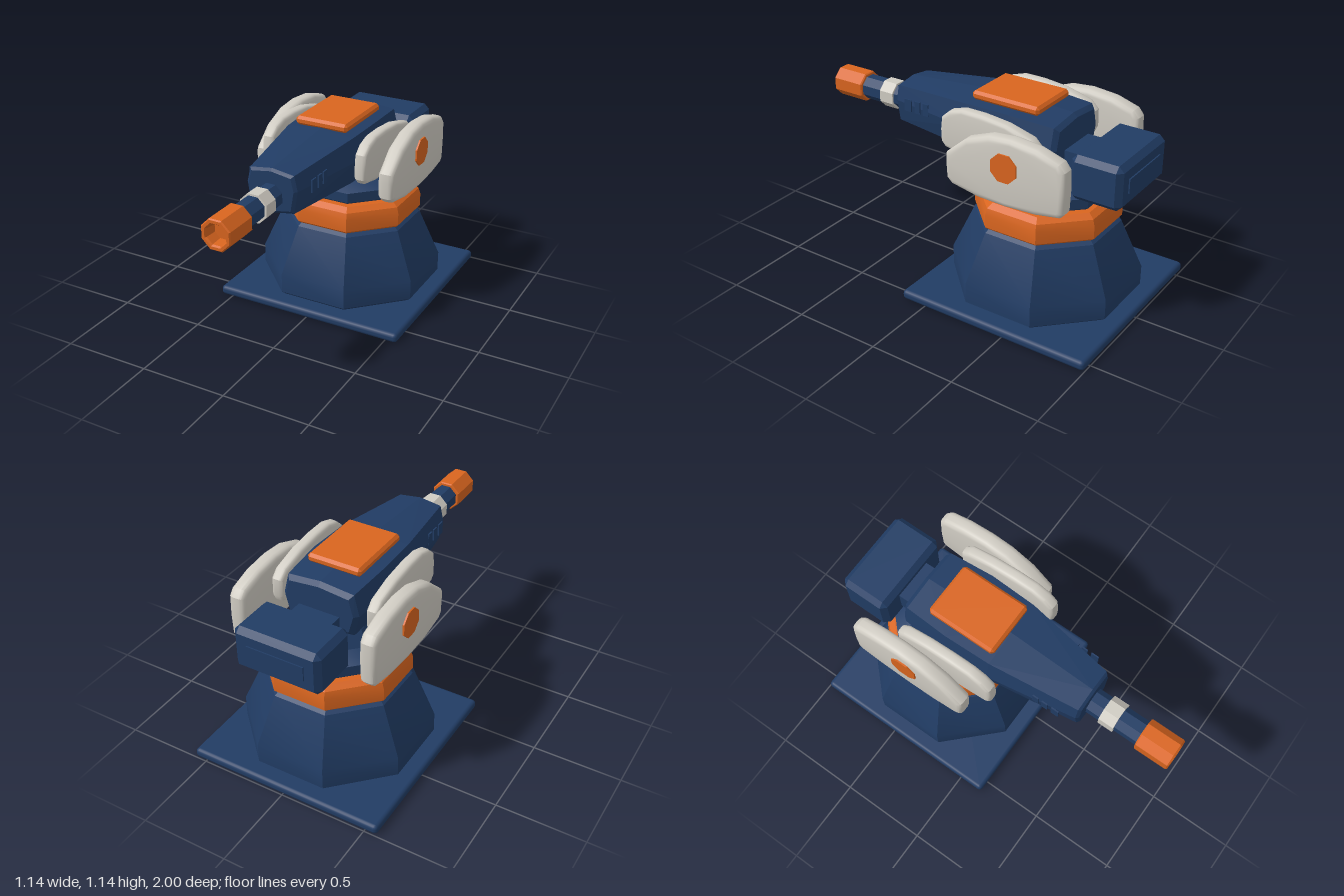
import * as THREE from 'three';
import { toCreasedNormals } from 'three/addons/utils/BufferGeometryUtils.js';
import { ConvexGeometry } from 'three/addons/geometries/ConvexGeometry.js';
import { RoundedBoxGeometry } from 'three/addons/geometries/RoundedBoxGeometry.js';

const material = (name, color) => {
  const m = new THREE.MeshStandardMaterial({ color });
  m.name = name;
  return m;
};

// Eight-sided turned part, flats facing the axes; profile is [apothem, height]
function octagon(profile) {
  const k = 1 / Math.cos(Math.PI / 8);
  const points = profile.map(([r, y]) => new THREE.Vector2(r * k, y));
  return toCreasedNormals(new THREE.LatheGeometry(points, 8, Math.PI / 8), 0.4);
}

// Box with every edge and corner cut, given by half sizes
function chamferBox(w, h, d, c) {
  const points = [];
  for (const x of [-1, 1]) for (const y of [-1, 1]) for (const z of [-1, 1]) {
    points.push(
      new THREE.Vector3(x * w, y * (h - c), z * (d - c)),
      new THREE.Vector3(x * (w - c), y * h, z * (d - c)),
      new THREE.Vector3(x * (w - c), y * (h - c), z * d));
  }
  return new ConvexGeometry(points);
}

// Side armour from a [z, y] outline, centred on x = 0
function armour(outline, width, bevel) {
  const shape = new THREE.Shape(outline.map(([z, y]) => new THREE.Vector2(z, y)));
  const depth = width - 2 * bevel;
  const geo = new THREE.ExtrudeGeometry(shape, {
    depth, bevelThickness: bevel, bevelSize: bevel, bevelOffset: -bevel, bevelSegments: 3,
  });
  geo.translate(0, 0, -depth / 2).rotateY(-Math.PI / 2);
  return toCreasedNormals(geo, 0.6);
}

export function createModel() {
  const blue = material('navy blue', 0x213c64);
  const orange = material('orange', 0xd9651f);
  const white = material('warm white', 0xd0ccc3);

  const model = new THREE.Group();
  model.name = 'gunTurret';
  const add = (name, geo, mat, x = 0, y = 0, z = 0) => {
    const mesh = new THREE.Mesh(geo, mat);
    mesh.name = name;
    mesh.position.set(x, y, z);
    model.add(mesh);
    return mesh;
  };
  const AXIS = -0.425;   // z of the turning axis
  const BORE = 0.915;    // height of the barrel

  // Pedestal
  add('basePlate', new RoundedBoxGeometry(1.145, 0.055, 1.145, 2, 0.022), blue, 0, 0.0275, AXIS);
  add('pedestal', octagon([[0, 0.055], [0.465, 0.055], [0.488, 0.075], [0.488, 0.19],
    [0.372, 0.465], [0.342, 0.49], [0, 0.49]]), blue, 0, 0, AXIS);
  add('turningRing', octagon([[0, 0.487], [0.36, 0.487], [0.373, 0.5], [0.373, 0.575],
    [0.362, 0.61], [0.33, 0.635], [0, 0.635]]), orange, 0, 0, AXIS);
  add('neck', octagon([[0, 0.645], [0.31, 0.645], [0.318, 0.653], [0.318, 0.71],
    [0.24, 0.757], [0.2, 0.84], [0, 0.84]]), blue, 0, 0, AXIS);

  // Tapered gun housing: [z, half width, bottom, top]
  const hull = [
    [0.49, 0.132, 0.83, 1.05], [0.475, 0.148, 0.815, 1.063], [-0.03, 0.23, 0.805, 1.102],
    [-0.3, 0.24, 0.805, 1.108], [-0.56, 0.222, 0.815, 1.096], [-0.585, 0.2, 0.84, 1.075],
  ].flatMap(([z, w, bottom, top]) => [
    [0, top], [w * 0.87, top - 0.018], [w, 0.96], [w * 0.86, bottom + 0.02], [0, bottom],
    [-w * 0.86, bottom + 0.02], [-w, 0.96], [-w * 0.87, top - 0.018],
  ].map(([x, y]) => new THREE.Vector3(x, y, z)));
  add('gunHousing', new ConvexGeometry(hull), blue);
  add('topHatch', chamferBox(0.158, 0.025, 0.205, 0.015), orange, 0, 1.12, -0.24);

  // Counterweight at the rear
  add('counterweight', chamferBox(0.25, 0.123, 0.145, 0.03), blue, 0, 0.868, -0.832);
  add('counterweightPanel', new THREE.BoxGeometry(0.33, 0.08, 0.008), blue, 0, 0.868, -0.98);
  add('counterweightLink', new THREE.BoxGeometry(0.24, 0.13, 0.18), blue, 0, 0.87, -0.63);

  // Barrel, collar and hollow muzzle
  const barrelParts = [
    ['barrel', [[0, 0.45], [0.066, 0.45], [0.066, 0.81], [0, 0.81]], blue],
    ['barrelCollar', [[0.06, 0.572], [0.077, 0.572], [0.077, 0.662], [0.06, 0.662]], white],
    ['muzzle', [[0, 0.798], [0.078, 0.798], [0.083, 0.805], [0.083, 0.993], [0.077, 1],
      [0.062, 1], [0.055, 0.99], [0.048, 0.93], [0, 0.93]], orange],
  ];
  for (const [name, profile, mat] of barrelParts) {
    add(name, octagon(profile), mat, 0, BORE, 0).rotation.x = Math.PI / 2;
  }

  // Side armour, pivots and vents, mirrored
  const outer = armour([[-0.055, 0.9], [-0.052, 0.85], [-0.058, 0.755], [-0.09, 0.725],
    [-0.25, 0.695], [-0.42, 0.69], [-0.6, 0.7], [-0.74, 0.725], [-0.762, 0.75], [-0.767, 0.86],
    [-0.762, 0.98], [-0.73, 1.02], [-0.6, 1.06], [-0.45, 1.074], [-0.32, 1.062], [-0.18, 1.008]].reverse(),
  0.094, 0.03);
  const inner = armour([[0.058, 0.96], [0.055, 0.89], [0.03, 0.862], [-0.1, 0.837],
    [-0.25, 0.832], [-0.42, 0.84], [-0.53, 0.865], [-0.547, 0.9], [-0.545, 1.0], [-0.5, 1.045],
    [-0.35, 1.085], [-0.2, 1.1], [-0.08, 1.1], [0.0, 1.075], [0.05, 1.03]].reverse(),
  0.07, 0.022);
  const cap = octagon([[0, -0.01], [0.076, -0.01], [0.076, 0.01], [0, 0.01]]);
  const axle = new THREE.CylinderGeometry(0.04, 0.04, 0.2, 8);
  for (const [side, s] of [['left', 1], ['right', -1]]) {
    add(side + 'OuterArmour', outer, white, s * 0.383, 0, 0);
    add(side + 'InnerArmour', inner, white, s * 0.283, 0, 0);
    add(side + 'PivotCap', cap, orange, s * 0.429, BORE, AXIS + 0.005).rotation.z = -s * Math.PI / 2;
    add(side + 'Axle', axle, blue, s * 0.3, BORE, AXIS).rotation.z = Math.PI / 2;
    for (const [z, length] of [[0.372, 0.045], [0.308, 0.036], [0.252, 0.036]]) {
      add(side + 'Vent', new THREE.BoxGeometry(0.008, 0.07, length), blue, s * 0.183, 0.967, z);
    }
  }
  return model;
}
